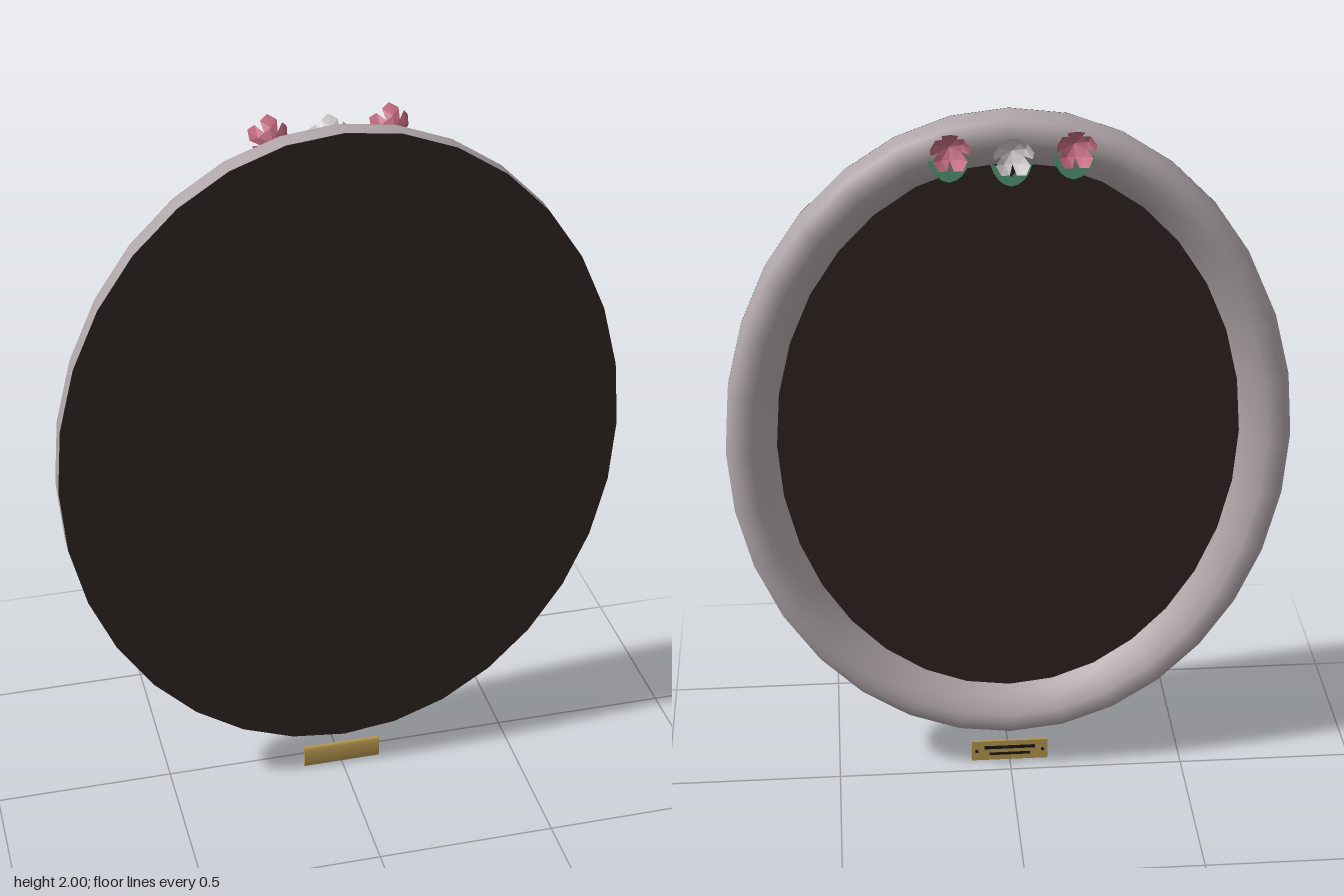
import * as THREE from 'three';

const RX = 0.775, RY = 0.94, CY = 1.06, SIDES = 32;

const material = (name, color, extra = {}) => {
  const m = new THREE.MeshStandardMaterial({ color, ...extra });
  m.name = name;
  return m;
};

// Oval ring: a moulding profile of [inset, z] pairs swept round the ellipse
function ovalRing(profile) {
  const pos = [], idx = [];
  for (const [inset, z] of profile)
    for (let j = 0; j < SIDES; j++) {
      const a = (j / SIDES) * Math.PI * 2;
      pos.push((RX - inset) * Math.cos(a), (RY - inset) * Math.sin(a), z);
    }
  for (let i = 0; i < profile.length - 1; i++)
    for (let j = 0; j < SIDES; j++) {
      const k = (j + 1) % SIDES;
      const a = i * SIDES + j, b = a + SIDES, c = i * SIDES + k, d = c + SIDES;
      idx.push(a, b, c, c, b, d);
    }
  const g = new THREE.BufferGeometry();
  g.setAttribute('position', new THREE.Float32BufferAttribute(pos, 3));
  g.setIndex(idx);
  g.computeVertexNormals();
  return g;
}

// Flat oval disc between two depths
function ovalDisc(rx, ry, z0, z1) {
  const g = new THREE.CylinderGeometry(1, 1, z1 - z0, SIDES);
  g.rotateX(Math.PI / 2).scale(rx, ry, 1).translate(0, 0, (z0 + z1) / 2);
  return g;
}

// Cup-shaped blossom opening towards -z, with pointed, notched petals
function blossomGeometry(petals = 5) {
  const pos = [];
  const step = (Math.PI * 2) / petals;
  const at = (r, a, z) => [r * Math.sin(a), r * Math.cos(a), z];
  for (let p = 0; p < petals; p++) {
    const mid = p * step;
    const base = at(0, 0, 0);
    const l1 = at(0.03, mid - step / 2, -0.018), r1 = at(0.03, mid + step / 2, -0.018);
    const m1 = at(0.035, mid, -0.02);
    const l2 = at(0.05, mid - step * 0.36, -0.048), r2 = at(0.05, mid + step * 0.36, -0.048);
    const tip = at(0.054, mid, -0.065);
    for (const t of [[base, l1, m1], [base, m1, r1], [l1, l2, m1], [m1, r2, r1], [m1, l2, tip], [m1, tip, r2]])
      for (const v of t) pos.push(...v);
  }
  const g = new THREE.BufferGeometry();
  g.setAttribute('position', new THREE.Float32BufferAttribute(pos, 3));
  g.computeVertexNormals();
  return g;
}

// One leaf of a pair, rising outwards from the stem
function leafGeometry(side) {
  const s = new THREE.Shape();
  s.moveTo(0, -0.03);
  s.quadraticCurveTo(side * 0.04, -0.025, side * 0.055, 0.03);
  s.quadraticCurveTo(side * 0.02, 0.025, 0, -0.005);
  return new THREE.ShapeGeometry(s, 4);
}

export function createModel() {
  const model = new THREE.Group();
  model.name = 'ovalFrame';

  const frameMat = material('mauveGrey', 0xb0a6aa);
  const boardMat = material('darkBrown', 0x2c2221);
  const goldMat = material('brass', 0xb4954e);
  const inkMat = material('black', 0x1c1712);
  const pinkMat = material('rosePink', 0xc0687f, { side: THREE.DoubleSide, flatShading: true });
  const whiteMat = material('paleGrey', 0xcac5c4, { side: THREE.DoubleSide, flatShading: true });
  const leafMat = material('leafGreen', 0x4a8a6a, { side: THREE.DoubleSide });

  const add = (name, geometry, mat, x = 0, y = 0, z = 0, parent = model) => {
    const m = new THREE.Mesh(geometry, mat);
    m.name = name;
    m.position.set(x, y, z);
    parent.add(m);
    return m;
  };

  // Rounded moulding, sloping in to the panel
  add('moulding', ovalRing([
    [0, 0.086], [0, 0.055], [0, 0.03], [0.007, 0.01], [0.022, -0.004], [0.045, -0.01],
    [0.07, -0.006], [0.1, 0.014], [0.125, 0.04], [0.145, 0.07],
  ]), frameMat, 0, CY);

  // Backing board and the dark panel inside the moulding
  add('backingBoard', ovalDisc(RX, RY, 0.085, 0.088), boardMat, 0, CY);
  add('innerPanel', ovalDisc(0.65, 0.82, 0.06, 0.085), boardMat, 0, CY);

  // Three blossoms, each over a pair of leaves
  for (const i of [-1, 0, 1]) {
    const spray = new THREE.Group();
    spray.name = 'flowerSpray';
    spray.position.set(i * 0.16, i === 0 ? 1.925 : 1.94, 0);
    model.add(spray);
    add('blossom', blossomGeometry(), i === 0 ? whiteMat : pinkMat, 0, 0, -0.027, spray);
    for (const side of [-1, 1]) {
      const leaf = add('leaf', leafGeometry(side), leafMat, 0, -0.07, -0.018, spray);
      leaf.rotation.x = 0.12;
    }
  }

  // Plaque below the frame: flat plate with a gently domed face
  const plaque = new THREE.Group();
  plaque.name = 'plaque';
  plaque.position.set(0, 0.0325, 0);
  model.add(plaque);
  add('plaquePlate', new THREE.BoxGeometry(0.224, 0.065, 0.007), goldMat, 0, 0, 0.0555, plaque);
  const dome = new THREE.CylinderGeometry(0.0325, 0.0325, 0.224, 12, 1, false, -Math.PI / 2, Math.PI);
  dome.rotateZ(Math.PI / 2).scale(1, 1, 0.2);
  add('plaqueFace', dome, goldMat, 0, 0, 0.059, plaque);

  // Engraved bars and corner pins on the plaque
  add('upperBar', new THREE.BoxGeometry(0.15, 0.01, 0.003), inkMat, 0, 0.011, 0.0515, plaque);
  add('lowerBar', new THREE.BoxGeometry(0.12, 0.008, 0.003), inkMat, 0, -0.011, 0.0515, plaque);
  for (const side of [-1, 1]) {
    const pin = new THREE.CylinderGeometry(0.005, 0.005, 0.006, 8).rotateX(Math.PI / 2);
    add('pin', pin, inkMat, side * 0.097, 0, 0.051, plaque);
  }
  return model;
}
